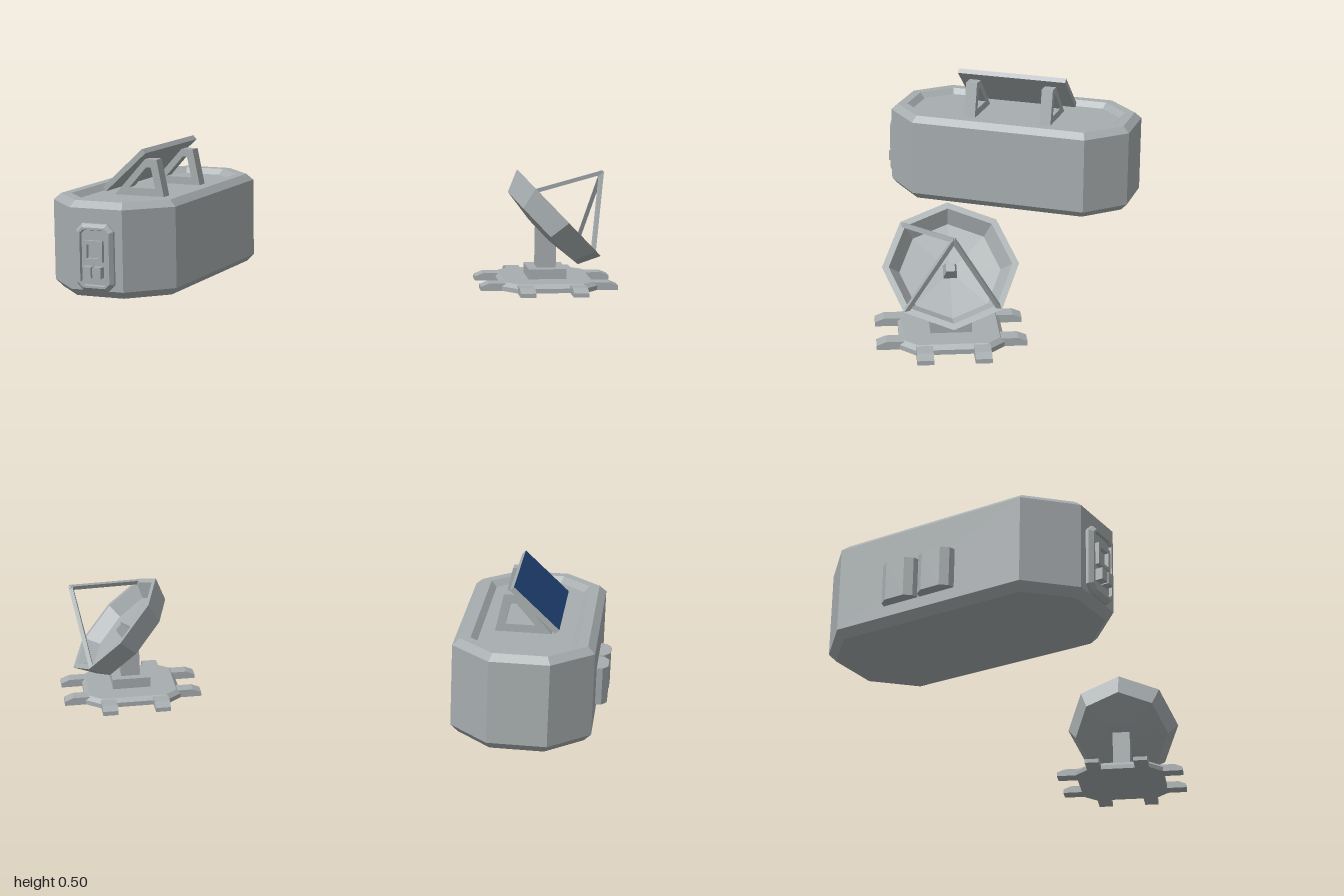
import * as THREE from 'three';

const grey = new THREE.MeshStandardMaterial({ color: 0xa7adaf });
grey.name = 'hullGrey';
const blue = new THREE.MeshStandardMaterial({ color: 0x1f4073 });
blue.name = 'solarBlue';

function add(parent, name, geometry, x = 0, y = 0, z = 0, material = grey) {
  const mesh = new THREE.Mesh(geometry, material);
  mesh.name = name;
  mesh.position.set(x, y, z);
  parent.add(mesh);
  return mesh;
}

function group(parent, name, x = 0, y = 0, z = 0) {
  const g = new THREE.Group();
  g.name = name;
  g.position.set(x, y, z);
  parent.add(g);
  return g;
}

function faceted(geometry) {
  const g = geometry.toNonIndexed();
  g.computeVertexNormals();
  return g;
}

// Chamfered rectangle lofted upward through rings of [inset, height]
function loftOctagon(halfW, halfL, cut, rings) {
  const loops = rings.map(([inset, y]) => {
    const w = halfW - inset, l = halfL - inset, c = cut - inset * 0.586;
    return [[w, l - c], [w - c, l], [c - w, l], [-w, l - c],
      [-w, c - l], [c - w, -l], [w - c, -l], [w, c - l]]
      .map(([x, z]) => new THREE.Vector3(x, y, z));
  });
  const pts = [];
  const bottom = new THREE.Vector3(0, rings[0][1], 0);
  const top = new THREE.Vector3(0, rings[rings.length - 1][1], 0);
  const last = loops[loops.length - 1];
  for (let j = 0; j < 8; j++) {
    const k = (j + 1) % 8;
    pts.push(bottom, loops[0][j], loops[0][k], top, last[k], last[j]);
    for (let i = 0; i + 1 < loops.length; i++) {
      const lo = loops[i], hi = loops[i + 1];
      pts.push(lo[j], hi[j], lo[k], lo[k], hi[j], hi[k]);
    }
  }
  const g = new THREE.BufferGeometry().setFromPoints(pts);
  g.computeVertexNormals();
  return g;
}

// Flat outline with an optional hole, extruded along z
function prism(points, depth, hole) {
  const shape = new THREE.Shape(points.map(p => new THREE.Vector2(...p)));
  if (hole) shape.holes.push(new THREE.Path(hole.map(p => new THREE.Vector2(...p))));
  return new THREE.ExtrudeGeometry(shape, { depth, bevelEnabled: false });
}

const rect = (w, h) => [[-w, -h], [w, -h], [w, h], [-w, h]];

function buildShelter(root) {
  const shelter = group(root, 'shelter', -0.72, 0, -0.021);
  shelter.rotation.y = -0.076;

  // Hull with bevelled edges and a sunken roof
  add(shelter, 'hull', loftOctagon(0.243, 0.489, 0.14, [
    [0.025, 0], [0, 0.027], [0, 0.32], [0.025, 0.343], [0.06, 0.343], [0.08, 0.322]]));

  // Door with raised frame, window and two control boxes
  const door = group(shelter, 'door', 0, 0.148, 0.487);
  add(door, 'doorFrame', loftOctagon(0.073, 0.12, 0.025, [
    [0, 0], [0, 0.012], [0.012, 0.025], [0.02, 0.025], [0.023, 0.015]])).rotation.x = Math.PI / 2;
  add(door, 'windowFrame', prism(rect(0.037, 0.038), 0.015, rect(0.024, 0.025)), 0, 0.024, 0.014);
  for (const s of [-1, 1]) {
    add(door, 'controlBox', new THREE.BoxGeometry(0.032, 0.04, 0.028), s * 0.019, -0.05, 0.027);
  }

  // Two equipment boxes on the right wall
  for (const z of [-0.098, 0.04]) {
    const g = prism([[-0.066, 0], [0.066, 0], [0.06, 0.022], [0.035, 0.04],
      [-0.035, 0.04], [-0.06, 0.022]], 0.135);
    g.rotateX(-Math.PI / 2);
    g.rotateY(Math.PI / 2);
    add(shelter, 'wallBox', g, -0.242, 0.065, z);
  }

  // Tilted solar panel on two triangular brackets
  const panel = add(shelter, 'solarPanel', new THREE.BoxGeometry(0.2185, 0.02, 0.44),
    -0.024, 0.419, 0, [grey, grey, blue, grey, grey, grey]);
  panel.rotation.z = 0.737;
  for (const z of [-0.155, 0.155]) {
    add(shelter, 'panelBracket', prism(
      [[-0.085, 0.32], [0.115, 0.32], [0.087, 0.457], [0.04, 0.457]], 0.045,
      [[-0.025, 0.35], [0.045, 0.428], [0.063, 0.428], [0.08, 0.35]]), 0, 0, z - 0.0225);
  }
}

function buildAntenna(root) {
  const antenna = group(root, 'antenna', 0.732, 0, -0.13);
  antenna.rotation.y = 0.323;

  // Foot plate with two prongs on each side
  add(antenna, 'footPlate', loftOctagon(0.17, 0.17, 0.05, [[0, 0.02], [0, 0.036], [0.014, 0.05]]));
  const prong = prism([[0.14, 0.02], [0.245, 0.02], [0.245, 0.035], [0.215, 0.047], [0.14, 0.047]], 0.054);
  for (let i = 0; i < 4; i++) {
    const side = group(antenna, 'footSide');
    side.rotation.y = i * Math.PI / 2;
    for (const s of [-1, 1]) add(side, 'footProng', prong, 0, 0, s * 0.093 - 0.027);
  }

  // Pedestal, its column cut to the slope of the dish
  add(antenna, 'pedestalBlock', new THREE.BoxGeometry(0.136, 0.037, 0.136), 0, 0.0675, 0);
  add(antenna, 'pedestalColumn', prism(
    [[-0.034, 0.08], [0.034, 0.08], [0.034, 0.2], [-0.034, 0.26]], 0.068), 0, 0, -0.034);

  // Eight-sided dish
  const dish = group(antenna, 'dish', 0.048, 0.279, 0);
  dish.rotation.z = -0.8;
  const profile = [[0, -0.095], [0.06, -0.095], [0.185, -0.08], [0.222, 0],
    [0.2, 0], [0.165, -0.048], [0, -0.058]].map(p => new THREE.Vector2(...p));
  add(dish, 'reflector', faceted(new THREE.LatheGeometry(profile, 8)));
  add(dish, 'centreKnob', faceted(new THREE.CylinderGeometry(0.02, 0.032, 0.04, 4)), 0, -0.037, 0)
    .rotation.y = Math.PI / 4;

  // Three struts meeting at the focus
  const apex = new THREE.Vector3(0, 0.208, 0);
  for (const deg of [45, 135, 225]) {
    const a = deg * Math.PI / 180;
    const foot = new THREE.Vector3(-0.21 * Math.cos(a), -0.005, 0.21 * Math.sin(a));
    const dir = apex.clone().sub(foot);
    const strut = add(dish, 'strut', new THREE.BoxGeometry(0.014, dir.length() + 0.008, 0.014));
    strut.position.copy(foot).add(apex).multiplyScalar(0.5);
    strut.quaternion.setFromUnitVectors(new THREE.Vector3(0, 1, 0), dir.normalize());
  }
}

export function createModel() {
  const root = new THREE.Group();
  root.name = 'outpost';
  buildShelter(root);
  buildAntenna(root);
  return root;
}
